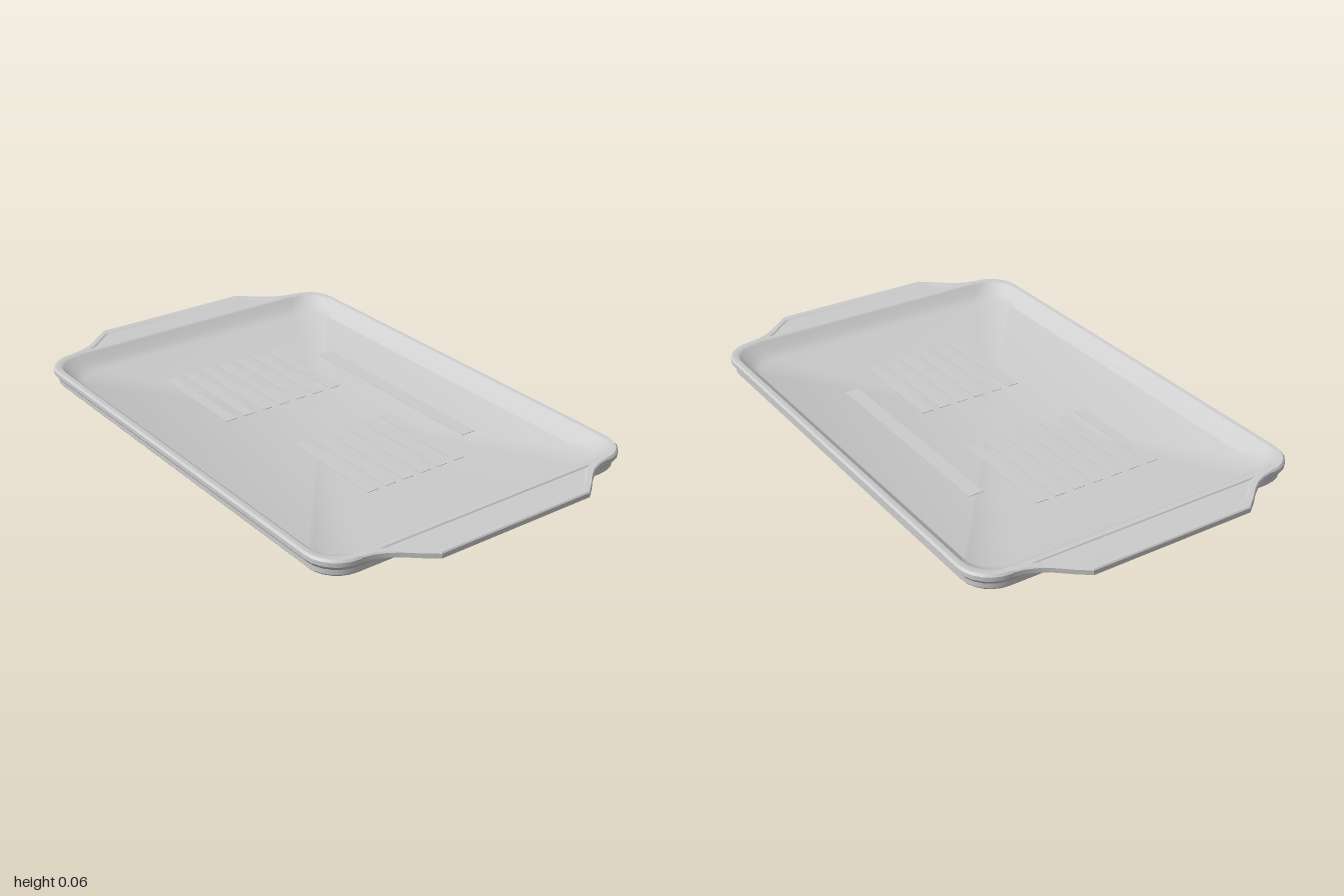
import * as THREE from 'three';
import { toCreasedNormals } from 'three/addons/utils/BufferGeometryUtils.js';

const FLOOR_Y = 0.015;

// Skin a list of closed rings with equal point counts
function loft(rings, crease) {
  const pos = [];
  const tri = (a, b, c) => {
    const n = b.clone().sub(a).cross(c.clone().sub(a));
    if (n.length() > 1e-9) for (const p of [a, b, c]) pos.push(p.x, p.y, p.z);
  };
  for (let i = 0; i < rings.length - 1; i++) {
    const lo = rings[i], hi = rings[i + 1], n = lo.length;
    for (let j = 0; j < n; j++) {
      const k = (j + 1) % n;
      tri(lo[j], lo[k], hi[k]);
      tri(lo[j], hi[k], hi[j]);
    }
  }
  const g = new THREE.BufferGeometry();
  g.setAttribute('position', new THREE.Float32BufferAttribute(pos, 3));
  return toCreasedNormals(g, crease);
}

// Rounded rectangle at height y, counter-clockwise from above
function roundedRing(hx, hz, r, y, seg = 6) {
  const pts = [];
  const corners = [[1, 1], [-1, 1], [-1, -1], [1, -1]];
  corners.forEach(([sx, sz], c) => {
    for (let i = 0; i <= seg; i++) {
      const a = (c + i / seg) * Math.PI / 2;
      pts.push(new THREE.Vector3(
        sx * (hx - r) + r * Math.cos(a), y, -sz * (hz - r) - r * Math.sin(a)));
    }
  });
  return pts;
}

export function createModel() {
  const group = new THREE.Group();
  const material = new THREE.MeshStandardMaterial({ color: 0xcccccc });
  const add = (name, geometry, parent = group) => {
    const mesh = new THREE.Mesh(geometry, material);
    mesh.name = name;
    parent.add(mesh);
    return mesh;
  };

  // Tray: underside, stepped outer wall, rim, sloped inner wall, floor
  const profile = [
    [0, 0, 0, 0],
    [0.858, 0.598, 0.1, 0],
    [0.865, 0.605, 0.105, 0.008],
    [0.865, 0.605, 0.105, 0.025],
    [0.88, 0.62, 0.115, 0.043],
    [0.88, 0.62, 0.115, 0.058],
    [0.874, 0.614, 0.11, 0.065],
    [0.855, 0.597, 0.1, 0.065],
    [0.848, 0.59, 0.1, 0.06],
    [0.825, 0.573, 0.11, 0.033],
    [0.787, 0.547, 0.11, FLOOR_Y],
    [0, 0, 0, FLOOR_Y],
  ];
  add('tray', loft(profile.map(p => roundedRing(...p)), 0.6));

  // Handles: a tapering section swept along z, flared outline with a lip
  const half = [[0.5, 0.88], [0.46, 0.888], [0.42, 0.905], [0.385, 0.93], [0.345, 0.965], [0.3, 1]];
  const stations = [
    ...half.map(([z, x]) => [-z, x]),
    ...half.slice().reverse(),
  ];
  const handleRings = stations.map(([z, x]) => [
    [0.86, 0.03], [x - 0.035, 0.053], [x - 0.012, 0.053], [x - 0.01, 0.045], [x, 0.045],
    [x, 0.061], [x - 0.004, 0.065], [x - 0.026, 0.065], [x - 0.034, 0.061], [0.86, 0.061],
  ].map(([px, py]) => new THREE.Vector3(px, py, z)));
  const handleGeometry = loft(handleRings, 0.5);
  add('leftHandle', handleGeometry);
  add('rightHandle', handleGeometry).rotation.y = Math.PI;

  // Low strips on the floor: one header and two stacked panels
  const strip = (name, x, z, length, width, parent) =>
    add(name, new THREE.BoxGeometry(length, 0.002, width), parent)
      .position.set(x, FLOOR_Y + 0.0005, z);
  strip('headerStrip', 0, -0.325, 0.82, 0.055);
  const panel = (name, x, length, firstZ, count, pitch) => {
    const set = new THREE.Group();
    set.name = name;
    for (let i = 0; i < count; i++) strip('floorStrip', x, firstZ + i * pitch, length, 0.042, set);
    group.add(set);
  };
  panel('rightStrips', -0.355, 0.41, -0.175, 7, 0.074);
  panel('leftStrips', 0.33, 0.4, -0.178, 6, 0.072);

  return group;
}
